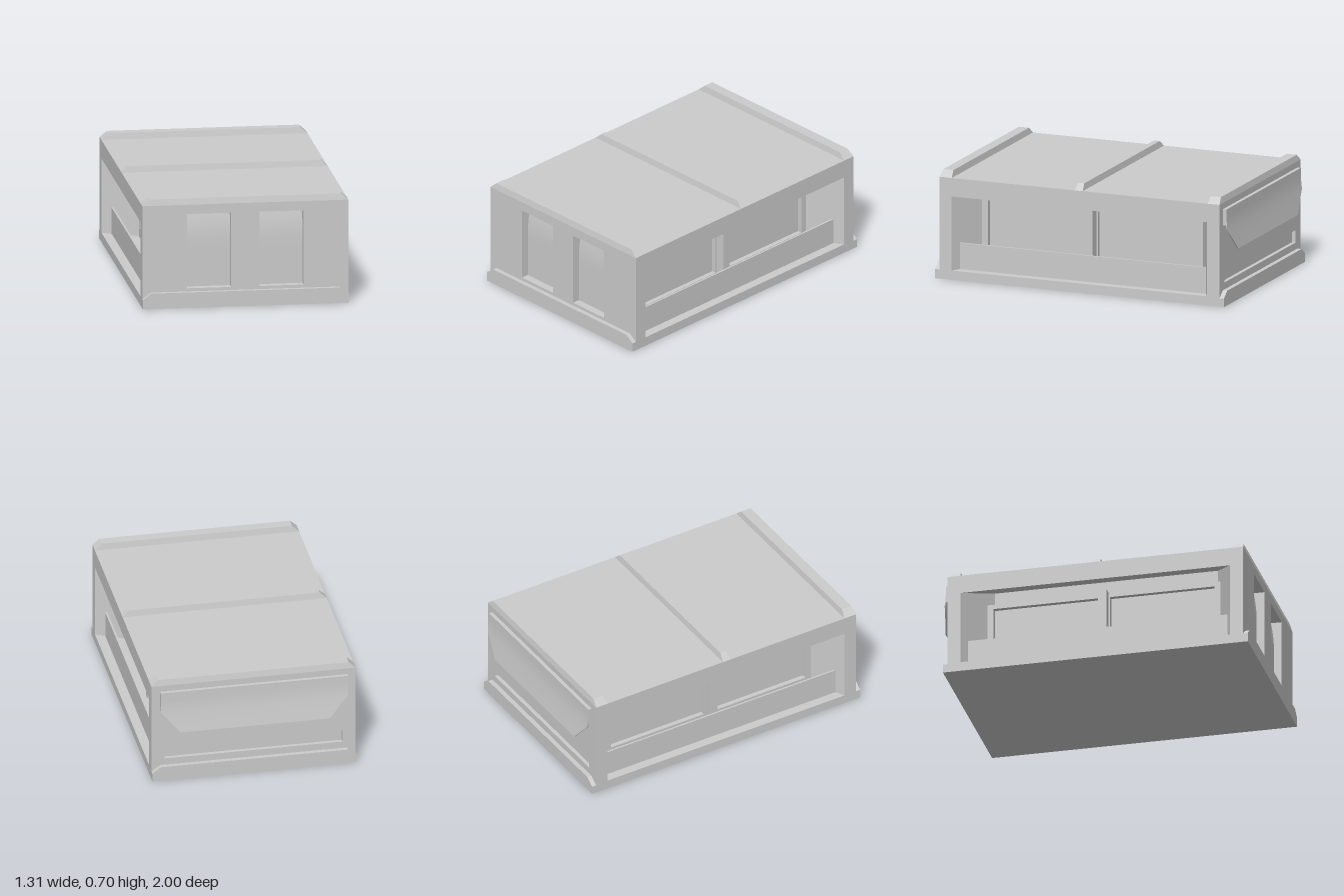
import * as THREE from 'three';

const mat = new THREE.MeshStandardMaterial({ color: 0xcccccc, side: THREE.DoubleSide });
const W = 0.655; // half width

function add(parent, name, geo) {
  const m = new THREE.Mesh(geo, mat);
  m.name = name;
  parent.add(m);
  return m;
}

// Box given by its limits on each axis
function box(parent, name, x0, x1, y0, y1, z0, z1) {
  const g = new THREE.BoxGeometry(x1 - x0, y1 - y0, z1 - z0);
  return add(parent, name, g.translate((x0 + x1) / 2, (y0 + y1) / 2, (z0 + z1) / 2));
}

const poly = pts => new THREE.Shape(pts.map(p => new THREE.Vector2(...p)));
const rect = (a0, a1, b0, b1) => poly([[a0, b0], [a1, b0], [a1, b1], [a0, b1]]);

function extrude(shape, depth, holes = []) {
  shape.holes = holes;
  return new THREE.ExtrudeGeometry(shape, { depth, bevelEnabled: false });
}

// Move every vertex by a rule and refresh the normals
function reshape(geo, rule) {
  const p = geo.attributes.position, v = new THREE.Vector3();
  for (let i = 0; i < p.count; i++) {
    rule(v.fromBufferAttribute(p, i));
    p.setXYZ(i, v.x, v.y, v.z);
  }
  geo.computeVertexNormals();
  return geo;
}

// Roof rib with sloped ends and slightly sloped long sides
function rib(parent, name, z0, z1) {
  const half = (z1 - z0) / 2;
  const g = reshape(new THREE.BoxGeometry(2, 1, 2), v => {
    const top = v.y > 0;
    v.set(v.x * (top ? 0.61 : W), top ? 0.7 : 0.66, v.z * (top ? half - 0.008 : half));
  });
  add(parent, name, g.translate(0, 0, (z0 + z1) / 2));
}

// Bumper strip with clipped upper corners
function bumper(parent, name, z0, z1, h) {
  const s = poly([[-W, 0], [W, 0], [W, h - 0.04], [0.6, h], [-0.6, h], [-W, h - 0.04]]);
  add(parent, name, extrude(s, z1 - z0).translate(0, 0, z0));
}

// Recessed side bay, built on +x
function sideBay() {
  const g = new THREE.Group();
  const deep = 0.375, inner = 0.435;

  // slanted walls at both ends of the bay, and its back
  for (const [name, zOut, zIn] of [['bayFrontWall', 0.885, 0.739], ['bayBackWall', -0.86, -0.707]]) {
    const wedge = extrude(poly([[W, -zOut], [deep, -zOut], [deep, -zIn]]), 0.59);
    add(g, name, wedge.rotateX(-Math.PI / 2).translate(0, 0.06, 0));
  }
  box(g, 'bayBack', deep - 0.015, deep, 0.06, 0.65, -0.72, 0.75);

  // window panel, open above
  const panel = extrude(rect(-0.77, 0.74, 0.06, 0.54), 0.03,
    [rect(-0.73, -0.055, 0.12, 0.51), rect(0.02, 0.7, 0.12, 0.51)]);
  add(g, 'windowPanel', panel.rotateY(Math.PI / 2).translate(inner - 0.03, 0, 0));
  box(g, 'windowPane', inner - 0.04, inner - 0.03, 0.06, 0.54, -0.73, 0.76);

  // centre post and low outer rail
  box(g, 'bayPost', inner, 0.495, 0.06, 0.54, -0.01, 0.045);
  box(g, 'bayRail', 0.583, 0.595, 0.06, 0.23, -0.83, 0.855);
  return g;
}

export function createModel() {
  const model = new THREE.Group();
  model.name = 'cabinModule';

  // base and roof; the roof underside slopes up into the bays
  box(model, 'base', -W, W, 0, 0.06, -0.86, 0.885);
  const roof = poly([[-W, 0.54], [-0.375, 0.645], [0.375, 0.645], [W, 0.54], [W, 0.66], [-W, 0.66]]);
  add(model, 'roof', extrude(roof, 1.745).translate(0, 0, -0.86));
  rib(model, 'frontRib', 0.885, 0.97);
  rib(model, 'middleRib', -0.01, 0.045);
  rib(model, 'backRib', -0.945, -0.862);

  // front wall with two door recesses
  const doorX = [-0.23, 0.23];
  const front = extrude(rect(-W, W, 0, 0.66), 0.085,
    doorX.map(x => rect(x - 0.14, x + 0.14, 0.12, 0.6)));
  add(model, 'frontWall', front.translate(0, 0, 0.885));
  for (const x of doorX) {
    // door curves back towards its top
    const door = reshape(new THREE.BoxGeometry(0.28, 0.48, 0.02, 1, 12, 1), v => {
      const t = Math.max(0, (v.y - 0.04) / 0.2);
      v.z -= 0.02 * t * t;
    });
    add(model, 'door', door.translate(x, 0.36, 0.91));
  }

  // back wall with a long slot
  const back = extrude(rect(-W, W, 0, 0.66), 0.085, [rect(-0.57, 0.57, 0.14, 0.22)]);
  add(model, 'backWall', back.translate(0, 0, -0.945));
  box(model, 'slotBack', -0.58, 0.58, 0.13, 0.23, -0.92, -0.91);

  // back awning: hood covered by a flap that curves outwards and narrows
  box(model, 'awningHood', -0.6, 0.6, 0.515, 0.62, -0.965, -0.945);
  const rows = [
    [0.345, 0.48, -0.996], [0.42, 0.542, -0.983], [0.485, 0.6, -0.973],
    [0.52, 0.6, -0.969], [0.56, 0.6, -0.966], [0.62, 0.6, -0.965],
  ];
  const flap = reshape(new THREE.BoxGeometry(2, 5, 2, 1, 5, 1), v => {
    const [y, w, z] = rows[Math.round(v.y + 2.5)];
    v.set(v.x * w, y, z + v.z * 0.004);
  });
  add(model, 'awningFlap', flap);

  bumper(model, 'frontBumper', 0.97, 1, 0.1);
  bumper(model, 'backBumper', -0.975, -0.945, 0.095);

  // mirrored side bays
  for (const s of [1, -1]) {
    const bay = sideBay();
    bay.name = s > 0 ? 'leftBay' : 'rightBay';
    bay.scale.x = s;
    model.add(bay);
  }
  return model;
}
